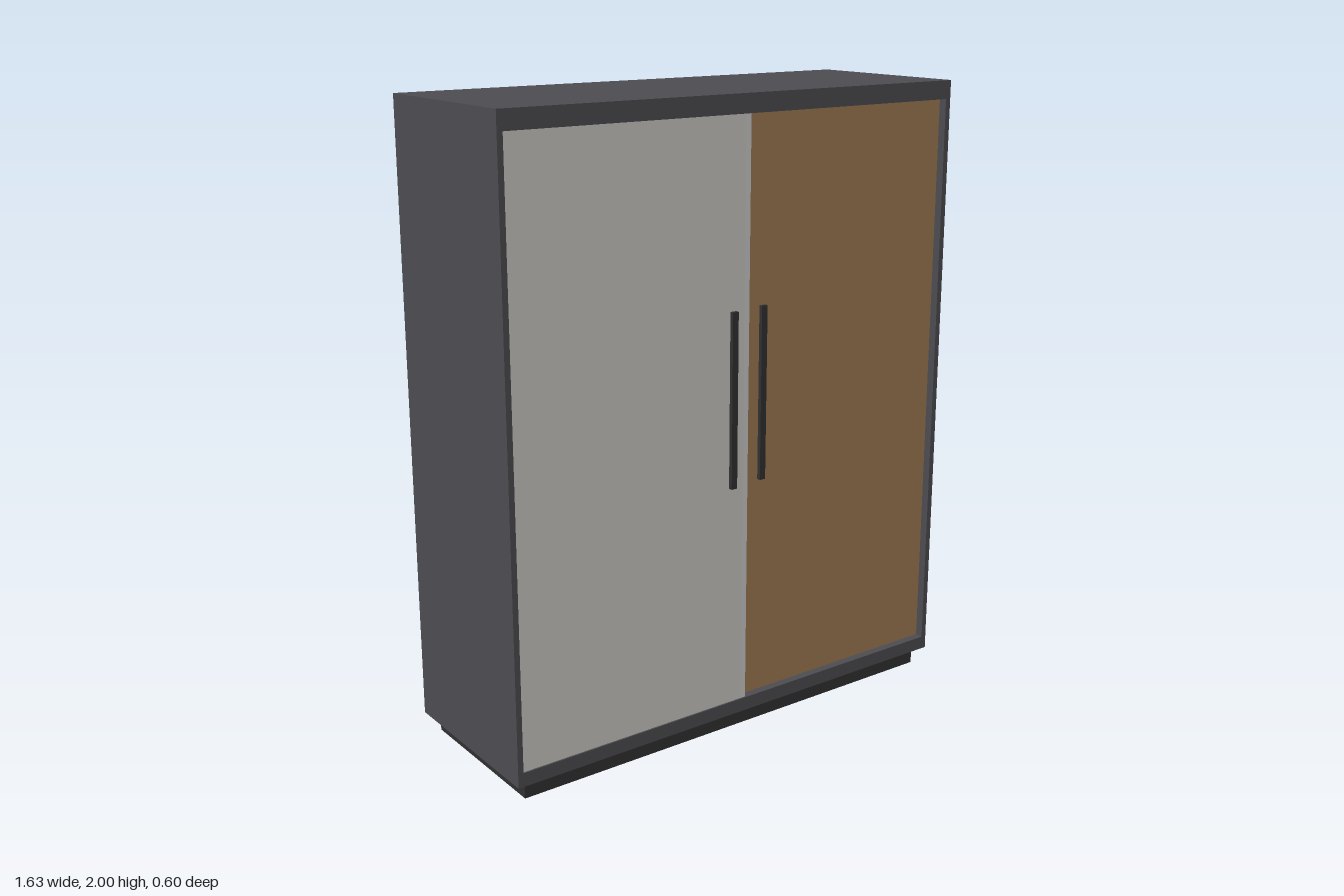
import * as THREE from 'three';

const material = (name, color) => {
  const m = new THREE.MeshStandardMaterial({ color });
  m.name = name;
  return m;
};

export function createModel() {
  const charcoal = material('charcoal', 0x4d4c51);
  const black = material('black', 0x313131);
  const offWhite = material('off white', 0xcac8c4);
  const silver = material('silver', 0xcbcbcb);
  const wood = material('wood', 0x9d7b52);

  const model = new THREE.Group();
  model.name = 'slidingWardrobe';

  // Box given by its limits on each axis
  const box = (name, mat, [x0, x1], [y0, y1], [z0, z1]) => {
    const mesh = new THREE.Mesh(new THREE.BoxGeometry(x1 - x0, y1 - y0, z1 - z0), mat);
    mesh.position.set((x0 + x1) / 2, (y0 + y1) / 2, (z0 + z1) / 2);
    mesh.name = name;
    model.add(mesh);
  };

  const W = 0.816, inner = 0.798;          // half widths outside and inside
  const back = -0.299, front = 0.291;
  const bottom = 0.058, doorBottom = 0.102, doorTop = 1.942;

  // Recessed plinth
  box('plinth', black, [-0.779, 0.779], [0, bottom], [-0.264, 0.262]);

  // Carcass panels
  box('bottomPanel', charcoal, [-W, W], [bottom, doorBottom], [back, front]);
  box('topPanel', charcoal, [-W, W], [doorTop, 2], [back, front]);
  box('leftSide', charcoal, [inner, W], [doorBottom, doorTop], [back, front]);
  box('rightSide', charcoal, [-W, -inner], [doorBottom, doorTop], [back, front]);
  box('backPanel', charcoal, [-inner, inner], [doorBottom, doorTop], [back, back + 0.02]);

  // Two sliding doors on separate tracks, the pale one in front
  const doorY = [doorBottom, doorTop];
  box('frontDoor', offWhite, [-inner, 0.003], doorY, [0.264, 0.286]);
  box('frontDoorEdge', silver, [0.003, 0.021], doorY, [0.264, 0.286]);
  box('rearDoor', wood, [-0.02, inner], doorY, [0.242, 0.264]);

  // Slim bar handles
  const handleY = [0.818, 1.368];
  box('frontDoorHandle', black, [-0.05, -0.029], handleY, [0.286, 0.299]);
  box('rearDoorHandle', black, [0.077, 0.098], handleY, [0.264, 0.277]);

  return model;
}
